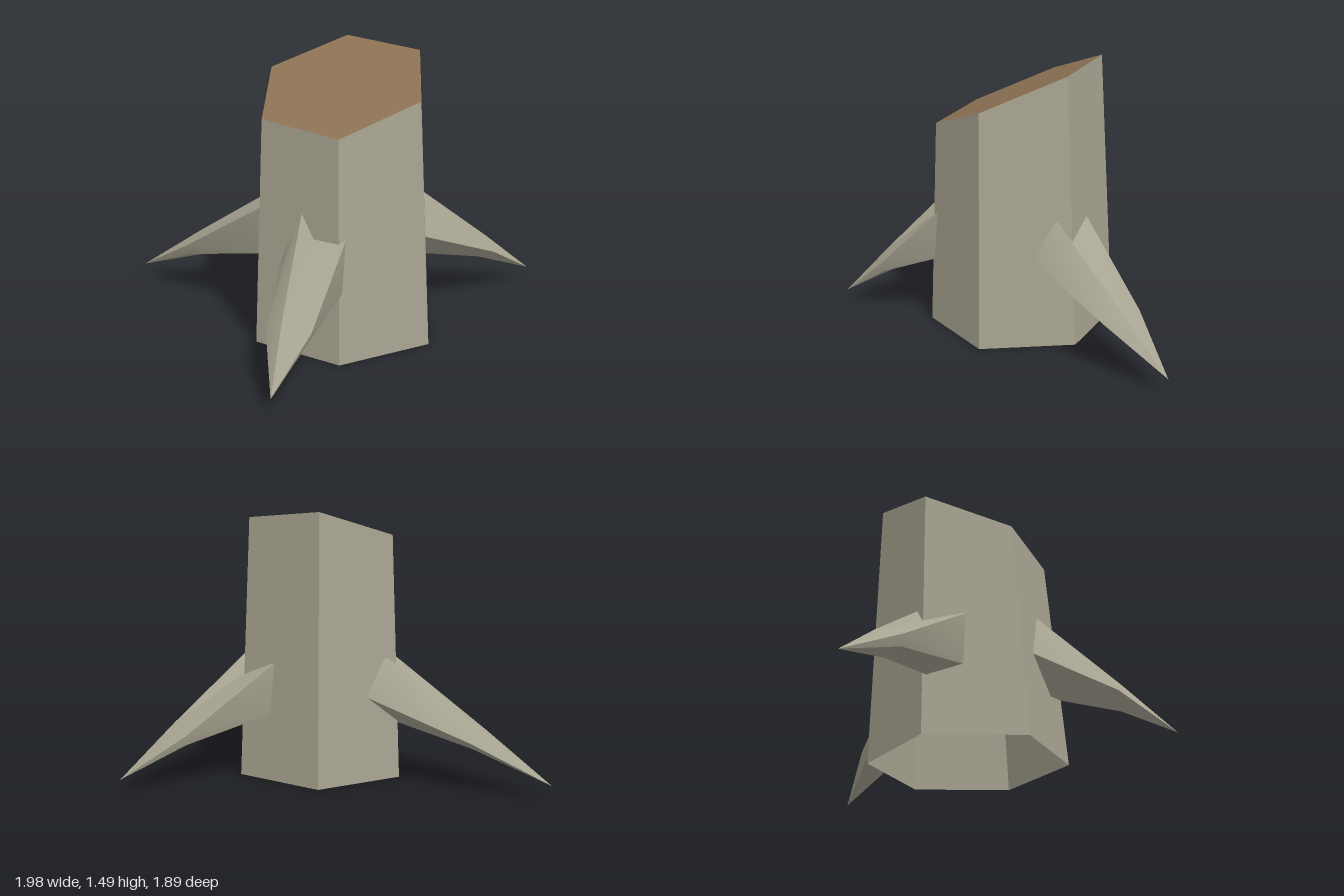
import * as THREE from 'three';
import { toCreasedNormals } from 'three/addons/utils/BufferGeometryUtils.js';

const CENTER = [-0.24, 0.2]; // trunk axis (x, z)
const HEIGHT = 1.31;         // height of the cut on the axis
const TOP_R = 0.449, BOTTOM_R = 0.514;
const PIVOT = 0.47;          // distance from the axis where roots leave the trunk

// Tilt everything at the top of the trunk onto the slanted cut plane
function slantTop(geometry) {
  const p = geometry.attributes.position;
  for (let i = 0; i < p.count; i++) {
    if (p.getY(i) > HEIGHT / 2) {
      p.setY(i, HEIGHT + 0.3 * p.getX(i) - 0.282 * p.getZ(i));
    }
  }
  geometry.computeVertexNormals();
  return geometry;
}

// Root profile: [distance from axis, height, sideways] around each section
const BASE = [
  [0.34, 0.50, 0.19], [0.34, 0.77, 0.075], [0.34, 0.66, 0],
  [0.34, 0.69, -0.175], [0.34, 0.39, -0.165], [0.34, 0.345, 0],
];
const MIDDLE = [
  [0.89, 0.28, 0.10], [0.90, 0.345, 0.012], [0.90, 0.342, -0.005],
  [0.89, 0.30, -0.13], [0.88, 0.245, -0.11], [0.86, 0.22, -0.01],
];
const TIP = [1.23, 0.08, -0.035];

// Pointed root, stretched lengthwise about the trunk surface
function rootGeometry(stretch) {
  const place = ([s, y, w]) => [PIVOT + stretch * (s - PIVOT), y, w];
  const base = BASE.map(place), middle = MIDDLE.map(place), tip = place(TIP);
  const points = [];
  for (let i = 0; i < base.length; i++) {
    const j = (i + 1) % base.length;
    points.push(...base[i], ...middle[i], ...base[j]);
    points.push(...base[j], ...middle[i], ...middle[j]);
    points.push(...middle[i], ...tip, ...middle[j]);
  }
  const geometry = new THREE.BufferGeometry();
  geometry.setAttribute('position', new THREE.Float32BufferAttribute(points, 3));
  return toCreasedNormals(geometry, 0.6);
}

export function createModel() {
  const model = new THREE.Group();
  model.name = 'treeStump';

  const bark = new THREE.MeshStandardMaterial({ color: 0xa8a492, side: THREE.DoubleSide });
  bark.name = 'bark';
  const wood = new THREE.MeshStandardMaterial({ color: 0x8b7153, side: THREE.DoubleSide });
  wood.name = 'cutWood';

  const add = (name, geometry, material) => {
    const mesh = new THREE.Mesh(geometry, material);
    mesh.name = name;
    mesh.position.set(CENTER[0], 0, CENTER[1]);
    model.add(mesh);
    return mesh;
  };

  // Six-sided trunk, open underneath
  const trunk = new THREE.CylinderGeometry(TOP_R, BOTTOM_R, HEIGHT, 6, 1, true, Math.PI / 2)
    .translate(0, HEIGHT / 2, 0).toNonIndexed();
  add('trunk', slantTop(trunk), bark);

  // Slanted cut face
  const cut = new THREE.CircleGeometry(TOP_R, 6).rotateX(-Math.PI / 2).translate(0, HEIGHT, 0);
  add('cutFace', slantTop(cut), wood);

  // Three roots: turn in degrees (from +x towards +z) and stretch
  const roots = [['leftRoot', 0, 1], ['frontRightRoot', 137.3, 0.76], ['backRightRoot', 238.3, 1.19]];
  for (const [name, turn, stretch] of roots) {
    add(name, rootGeometry(stretch), bark).rotation.y = -THREE.MathUtils.degToRad(turn);
  }
  return model;
}
